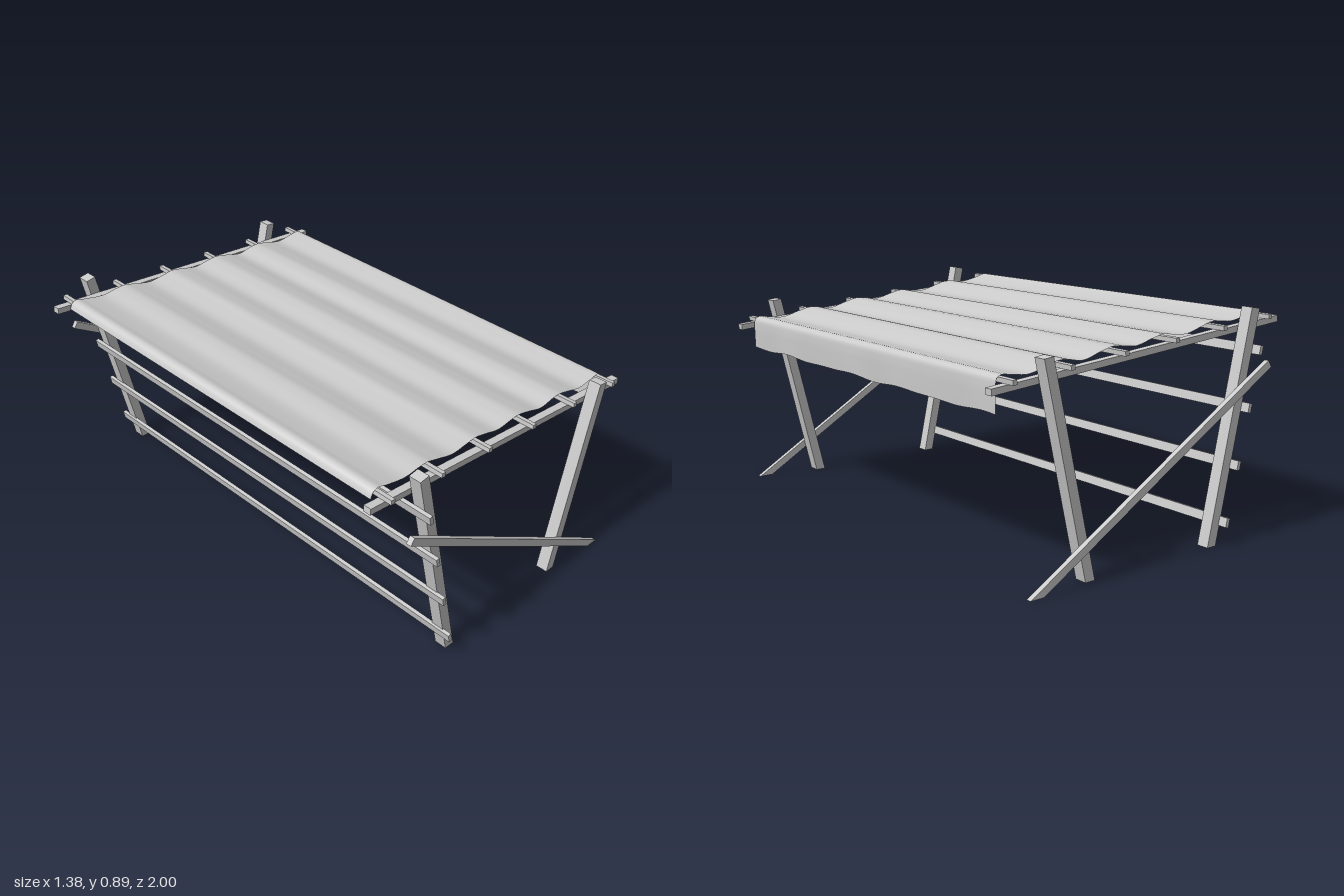
import * as THREE from 'three';

export function createModel() {
  const model = new THREE.Group();
  const wood = new THREE.MeshStandardMaterial({ color: 0xcccccc });
  const fabric = new THREE.MeshStandardMaterial({ color: 0xcccccc, side: THREE.DoubleSide });

  // Beam with a side outline in x/y, extruded from z0 to z1
  function beam(name, outline, z0, z1) {
    const shape = new THREE.Shape(outline.map(([x, y]) => new THREE.Vector2(x, y)));
    const geo = new THREE.ExtrudeGeometry(shape, { depth: z1 - z0, bevelEnabled: false });
    const mesh = new THREE.Mesh(geo, wood);
    mesh.name = name;
    mesh.position.z = z0;
    model.add(mesh);
  }

  // Bar running the full depth along z
  function crossBar(name, x, y, w, h, length, tilt) {
    const mesh = new THREE.Mesh(new THREE.BoxGeometry(w, h, length), wood);
    mesh.name = name;
    mesh.position.set(x, y, 0);
    mesh.rotation.z = tilt;
    model.add(mesh);
  }

  // Side frames: two leaning legs, sloping roof rail and diagonal brace
  const outlines = {
    rearLeg: [[-0.327, 0], [-0.284, 0], [-0.477, 0.892], [-0.519, 0.885]],
    frontLeg: [[0.281, 0], [0.324, 0], [0.517, 0.803], [0.477, 0.808]],
    roofRail: [[-0.692, 0.814], [0.688, 0.693], [0.69, 0.717], [-0.69, 0.839]],
    brace: [[0.527, 0], [0.585, 0], [-0.558, 0.687], [-0.575, 0.661]],
  };
  const depths = { rearLeg: [0.912, 0.963], frontLeg: [0.912, 0.963], roofRail: [0.875, 0.907], brace: [0.963, 0.984] };
  for (const [name, outline] of Object.entries(outlines)) {
    const [a, b] = depths[name];
    beam(name + 'Left', outline, a, b);
    beam(name + 'Right', outline, -b, -a);
  }

  // Rear fence slats fixed to the outside of the rear legs
  for (let i = 0; i < 4; i++) {
    crossBar('fenceSlat', -0.35 - 0.0483 * i, 0.095 + 0.213 * i, 0.015, 0.036, 2, 0.213);
  }

  // Roof battens lying across the rails
  const slope = Math.atan2(-0.122, 1.38);
  for (let i = 0; i < 6; i++) {
    const x = -0.615 + 0.246 * i;
    crossBar('roofBatten', x, 0.788 - 0.0885 * x, 0.018, 0.018, 1.87, slope);
  }

  // Canopy: profile draped over the battens, with a hanging front flap
  const profile = [
    [-0.643, 0.825], [-0.632, 0.848], [-0.613, 0.857], [-0.57, 0.846], [-0.48, 0.829], [-0.41, 0.835], [-0.369, 0.835],
    [-0.32, 0.822], [-0.24, 0.802], [-0.17, 0.807], [-0.123, 0.812], [-0.07, 0.802], [0.01, 0.783], [0.08, 0.79],
    [0.123, 0.792], [0.18, 0.779], [0.26, 0.758], [0.33, 0.768], [0.369, 0.769], [0.42, 0.757], [0.5, 0.737],
    [0.57, 0.744], [0.615, 0.748], [0.632, 0.738], [0.636, 0.71], [0.636, 0.66], [0.635, 0.615],
  ];
  const curve = new THREE.CatmullRomCurve3(profile.map(([x, y]) => new THREE.Vector3(x, y, 0)), false, 'centripetal');
  const across = 150, along = 60;
  const samples = curve.getSpacedPoints(across);
  const cloth = new THREE.PlaneGeometry(1, 1.72, across, along);
  const pos = cloth.attributes.position;
  for (let i = 0; i < pos.count; i++) {
    const p = samples[i % (across + 1)];
    const z = -pos.getY(i);
    // Wavy hem: ripple grows towards the bottom of the flap
    const flap = p.x > 0.62 ? THREE.MathUtils.clamp((0.735 - p.y) / 0.12, 0, 1) : 0;
    const ripple = Math.sin(z * 14) * 0.6 + Math.sin(z * 23 + 1) * 0.4;
    pos.setXYZ(i, p.x + 0.003 * flap * ripple, p.y + 0.006 * flap * ripple, z);
  }
  cloth.computeVertexNormals();
  const canopy = new THREE.Mesh(cloth, fabric);
  canopy.name = 'canopy';
  model.add(canopy);

  return model;
}
